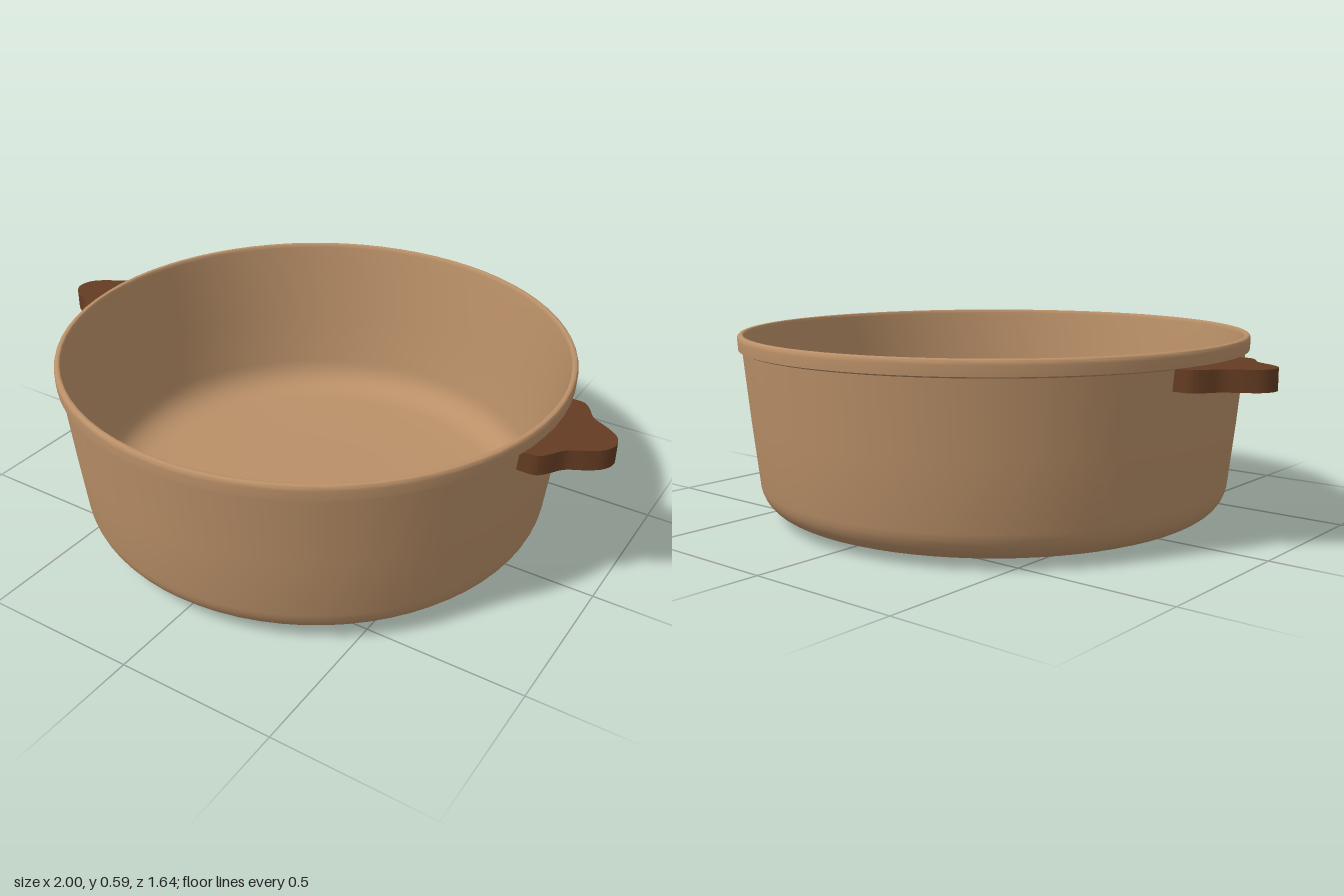
import * as THREE from 'three';
import { toCreasedNormals } from 'three/addons/utils/BufferGeometryUtils.js';

const clay = new THREE.MeshStandardMaterial({ name: 'clay brown', color: 0xba9068 });
const wood = new THREE.MeshStandardMaterial({ name: 'dark brown', color: 0x643c22 });

const v = (x, y) => new THREE.Vector2(x, y);

// Points of a rounded corner between two straight runs
function fillet(from, corner, to, steps = 8) {
  return new THREE.QuadraticBezierCurve(v(...from), v(...corner), v(...to)).getPoints(steps);
}

// Symmetric handle outline: half profile of [x, z], mirrored across z = 0
function handleOutline(half, backRadius) {
  const full = [...half, ...half.slice(0, -1).reverse().map(([x, z]) => [x, -z])];
  const curve = new THREE.SplineCurve(full.map(([x, z]) => v(x, z)));
  const points = curve.getPoints(56);
  // back edge follows the round wall of the pot
  const z0 = half[0][1];
  for (let i = 0; i <= 10; i++) {
    const z = -z0 + (2 * z0 * i) / 10;
    points.push(v(Math.sqrt(backRadius ** 2 - z * z), z));
  }
  return points;
}

function extrudeUp(shape, y, height) {
  const g = new THREE.ExtrudeGeometry(shape, { depth: height, bevelEnabled: false });
  g.rotateX(-Math.PI / 2).translate(0, y, 0);
  return toCreasedNormals(g, 0.6);
}

function mesh(geometry, material, name) {
  const m = new THREE.Mesh(geometry, material);
  m.name = name;
  return m;
}

// Handle: a top plate with a skirt below it, hollow underneath
function createHandle(name) {
  const outer = handleOutline([[0.79, 0.176], [0.835, 0.174], [0.862, 0.148], [0.893, 0.104],
    [0.945, 0.074], [0.985, 0.042], [1, 0]], 0.798);
  const inner = handleOutline([[0.8, 0.148], [0.827, 0.145], [0.842, 0.128], [0.872, 0.085],
    [0.925, 0.053], [0.962, 0.028], [0.972, 0]], 0.803);
  const skirt = new THREE.Shape(outer);
  skirt.holes.push(new THREE.Path(inner));
  const group = new THREE.Group();
  group.name = name;
  group.add(mesh(extrudeUp(new THREE.Shape(outer), 0.522, 0.022), wood, 'handlePlate'));
  group.add(mesh(extrudeUp(skirt, 0.48, 0.042), wood, 'handleSkirt'));
  return group;
}

export function createModel() {
  const model = new THREE.Group();
  model.name = 'pot';

  // Pot: base, outer wall, rim band, inner wall and floor in one profile
  const profile = [
    v(0, 0), v(0.35, 0.002),
    ...fillet([0.6, 0.008], [0.745, 0.012], [0.762, 0.11], 10),
    v(0.785, 0.32), v(0.806, 0.54),
    v(0.818, 0.545),
    ...fillet([0.82, 0.575], [0.82, 0.592], [0.81, 0.592], 4),
    ...fillet([0.806, 0.592], [0.8, 0.592], [0.799, 0.58], 4),
    v(0.79, 0.52), v(0.765, 0.32),
    ...fillet([0.741, 0.13], [0.728, 0.034], [0.62, 0.03], 10),
    v(0.3, 0.028), v(0, 0.028),
  ];
  const pot = toCreasedNormals(new THREE.LatheGeometry(profile, 72), 0.6);
  model.add(mesh(pot, clay, 'potBody'));

  // Two opposite handles
  const left = createHandle('leftHandle');
  const right = createHandle('rightHandle');
  right.rotation.y = Math.PI;
  model.add(left, right);
  return model;
}
